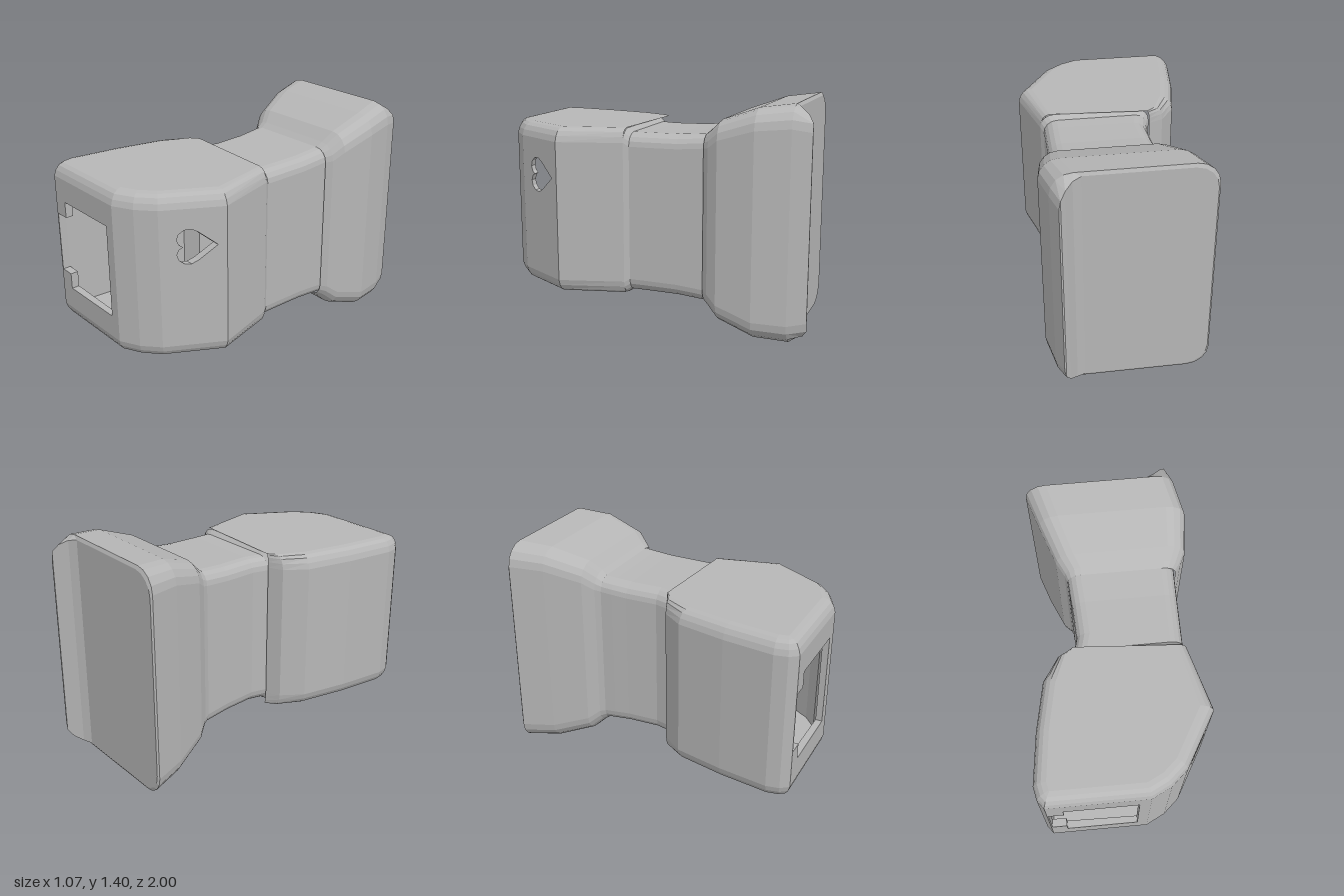
import * as THREE from 'three';

const V = (x, y, z) => new THREE.Vector3(x, y, z);

// Adds a triangle; with a hint the winding is turned so it faces that way
function tri(out, a, b, c, hint) {
  if (hint) {
    const n = b.clone().sub(a).cross(c.clone().sub(a));
    if (n.dot(hint) < 0) [b, c] = [c, b];
  }
  out.push(a, b, c);
}
function quad(out, a, b, c, d, hint) {
  tri(out, a, b, c, hint);
  tri(out, a, c, d, hint);
}

// Joins successive closed rings of equal point count
function loft(out, rings, skip = () => false) {
  for (let k = 0; k < rings.length - 1; k++) {
    const a = rings[k], b = rings[k + 1], n = a.length;
    for (let i = 0; i < n; i++) {
      const j = (i + 1) % n;
      if (!skip(k, i)) quad(out, a[i], a[j], b[j], b[i]);
    }
  }
}

// Flat horizontal cap
function cap(out, ring, hint) {
  const flat = ring.map(p => new THREE.Vector2(p.x, p.z));
  for (const [a, b, c] of THREE.ShapeUtils.triangulateShape(flat, [])) tri(out, ring[a], ring[b], ring[c], hint);
}

// Upright wall from a to b with a hole given in (axis, y); returns the hole's rim
function panel(out, a, b, y0, y1, axis, hole, hint) {
  const ca = a[axis], cb = b[axis];
  const map = p => {
    const q = a.clone().lerp(b, (p.x - ca) / (cb - ca));
    q.y = p.y;
    return q;
  };
  const outer = [[ca, y0], [cb, y0], [cb, y1], [ca, y1]].map(p => new THREE.Vector2(...p));
  const inner = hole.map(p => new THREE.Vector2(...p));
  const faces = THREE.ShapeUtils.triangulateShape(outer, [inner]);
  const pts = [...outer, ...inner].map(map);
  for (const [i, j, k] of faces) tri(out, pts[i], pts[j], pts[k], hint);
  return inner.map(map);
}

// Walls through the thickness of a hole, facing its middle
function reveal(out, rimA, rimB) {
  const n = rimA.length;
  const mid = V(0, 0, 0);
  [...rimA, ...rimB].forEach(p => mid.addScaledVector(p, 0.5 / n));
  for (let i = 0; i < n; i++) {
    const j = (i + 1) % n;
    const hint = mid.clone().sub(rimA[i].clone().add(rimB[j]).multiplyScalar(0.5));
    quad(out, rimA[i], rimA[j], rimB[j], rimB[i], hint);
  }
}

// Plan outline moved inward; the rear rim keeps its depth
function inset(outline, d, y) {
  const n = outline.length;
  const normal = (p, q) => new THREE.Vector2(q[1] - p[1], p[0] - q[0]).normalize();
  return outline.map((p, i) => {
    const n1 = normal(outline[(i + n - 1) % n], p), n2 = normal(p, outline[(i + 1) % n]);
    const m = n1.clone().add(n2).multiplyScalar(d / (1 + n1.dot(n2)));
    return V(p[0] + m.x, y, p[1] < 0.2 ? p[1] : p[1] + m.y);
  });
}

// Rounded rectangle section, counter-clockwise seen from the front
function section(z, x0, x1, y0, y1, r, steps = 4) {
  const pts = [];
  const centres = [[x1 - r, y1 - r], [x0 + r, y1 - r], [x0 + r, y0 + r], [x1 - r, y0 + r]];
  centres.forEach(([cx, cy], q) => {
    for (let i = 0; i <= steps; i++) {
      const t = (q + i / steps) * Math.PI / 2;
      pts.push(V(cx + r * Math.cos(t), cy + r * Math.sin(t), z));
    }
  });
  return pts;
}

function makeMesh(name, points, material) {
  const g = new THREE.BufferGeometry().setFromPoints(points);
  g.computeVertexNormals();
  const m = new THREE.Mesh(g, material);
  m.name = name;
  return m;
}

export function createModel() {
  const group = new THREE.Group();
  group.name = 'hollowHousing';
  const grey = new THREE.MeshStandardMaterial({ color: 0xb6b6b6 });
  grey.name = 'plain grey';

  // Openings: notched window in the front, heart in the slanted side
  const windowHole = [[-0.385, 0.415], [0.055, 0.415], [0.055, 0.99], [-0.385, 0.99],
    [-0.385, 0.89], [-0.474, 0.89], [-0.474, 0.515], [-0.385, 0.515]];
  const half = [[0.66, 0.085], [0.695, 0.106], [0.73, 0.102], [0.757, 0.078], [0.766, 0.045], [0.755, 0.015]];
  const mid = 0.905;
  const heartHole = [[0.565, mid], ...half.map(([z, h]) => [z, mid + h]), [0.735, mid],
    ...half.slice().reverse().map(([z, h]) => [z, mid - h])];

  // Head shell: plan outline stacked upward with rounded edges
  const outline = [[-0.26, 0.09], [-0.35, 0.13], [-0.44, 0.26], [-0.5, 0.56], [-0.537, 0.87], [-0.52, 0.95],
    [-0.482, 1], [0.12, 1], [0.24, 0.94], [0.34, 0.85], [0.53, 0.52], [0.42, 0.13]];
  const FRONT = 6, HEART = 9, BACK = 11;
  const edge = [[0.08, 0], [0.05, 0.007], [0.027, 0.022], [0.01, 0.05], [0, 0.085]];
  const y0 = 0.19, y1 = 1.218;
  const rings = [
    ...edge.map(([d, h]) => inset(outline, d, y0 + h)),
    ...edge.slice().reverse().map(([d, h]) => inset(outline, d, y1 - h)),
  ];
  const head = [];
  loft(head, rings, (k, i) => i === BACK || (k === 4 && (i === FRONT || i === HEART)));
  cap(head, rings[0], V(0, -1, 0));
  cap(head, rings[9], V(0, 1, 0));
  const lo = rings[4], hi = rings[5];
  const outerWindow = panel(head, lo[FRONT], lo[FRONT + 1], lo[0].y, hi[0].y, 'x', windowHole, V(0, 0, 1));
  const outerHeart = panel(head, lo[HEART], lo[HEART + 1], lo[0].y, hi[0].y, 'z', heartHole, V(1, 0, 0.5));
  group.add(makeMesh('headShell', head, grey));

  // Inner cavity, running back through the neck
  const inner = [[-0.23, 0.12], [-0.33, 0.17], [-0.455, 0.56], [-0.48, 0.95], [0.1, 0.96], [0.22, 0.9],
    [0.31, 0.82], [0.485, 0.52], [0.385, 0.14], [0.36, 0.08], [0.36, -0.85], [-0.2, -0.85], [-0.195, 0]];
  const floor = inner.map(([x, z]) => V(x, 0.245, z));
  const ceiling = inner.map(([x, z]) => V(x, 1.16, z));
  const cavity = [];
  loft(cavity, [ceiling, floor], (k, i) => i === 3 || i === 6);
  cap(cavity, floor, V(0, 1, 0));
  cap(cavity, ceiling, V(0, -1, 0));
  const innerWindow = panel(cavity, floor[3], floor[4], 0.245, 1.16, 'x', windowHole, V(0, 0, -1));
  const innerHeart = panel(cavity, floor[6], floor[7], 0.245, 1.16, 'z', heartHole, V(-1, 0, -0.5));
  group.add(makeMesh('innerCavity', cavity, grey));

  // Edges of the two openings
  const frames = [];
  reveal(frames, outerWindow, innerWindow);
  reveal(frames, outerHeart, innerHeart);
  group.add(makeMesh('openingEdges', frames, grey));

  // Neck
  const neck = [];
  loft(neck, [
    section(-0.39, -0.25, 0.4, 0.192, 1.208, 0.08),
    section(-0.3, -0.244, 0.4, 0.2, 1.2, 0.08),
    section(-0.2, -0.236, 0.4, 0.208, 1.192, 0.08),
    section(0, -0.225, 0.4, 0.21, 1.19, 0.08),
    section(0.1, -0.25, 0.4, 0.21, 1.19, 0.08),
    section(0.13, -0.262, 0.42, 0.192, 1.215, 0.08),
  ]);
  group.add(makeMesh('neck', neck, grey));

  // Flared base with a raised lip along one rear edge
  const rim = section(-0.9, -0.45, 0.41, 0.02, 1.38, 0.13);
  for (const p of rim) {
    const t = THREE.MathUtils.clamp((p.x - 0.28) / 0.115, 0, 1);
    p.z -= 0.1 * Math.pow(t, 1.5);
  }
  const base = [];
  loft(base, [
    rim,
    section(-0.89, -0.46, 0.452, 0.002, 1.4, 0.13),
    section(-0.69, -0.395, 0.495, 0.025, 1.375, 0.12),
    section(-0.47, -0.31, 0.475, 0.105, 1.297, 0.11),
    section(-0.405, -0.265, 0.44, 0.165, 1.237, 0.1),
    section(-0.37, -0.25, 0.41, 0.192, 1.208, 0.08),
  ]);
  const n = rim.length;
  for (let i = 0; i < n / 2 - 1; i++) quad(base, rim[i], rim[n - 1 - i], rim[n - 2 - i], rim[i + 1]);
  group.add(makeMesh('flaredBase', base, grey));

  return group;
}
